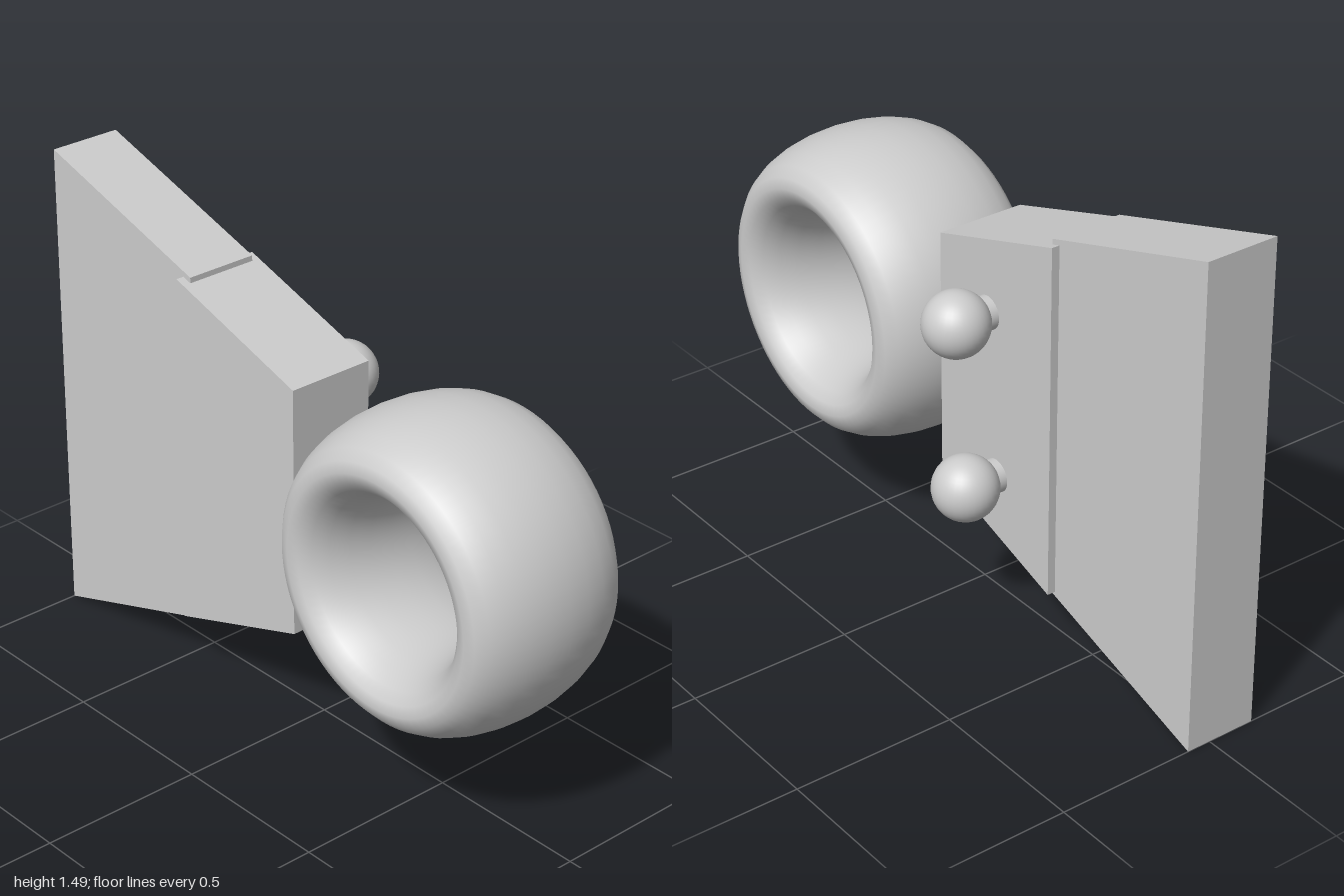
import * as THREE from 'three';

export function createModel() {
  const group = new THREE.Group();
  const grey = new THREE.MeshStandardMaterial({ color: 0xcccccc });
  grey.name = 'light grey';

  const add = (name, geometry, x = 0, y = 0, z = 0) => {
    const mesh = new THREE.Mesh(geometry, grey);
    mesh.name = name;
    mesh.position.set(x, y, z);
    group.add(mesh);
    return mesh;
  };

  // Tapered slab: side outline given as [z, y] corners, extruded across x
  const slab = (name, corners, xMin, xMax) => {
    const shape = new THREE.Shape(corners.map(([z, y]) => new THREE.Vector2(z, y)));
    const geometry = new THREE.ExtrudeGeometry(shape, { depth: xMax - xMin, bevelEnabled: false });
    geometry.rotateY(-Math.PI / 2);
    add(name, geometry, xMax);
  };
  slab('frontBlock', [[0.07, 0.363], [0.07, 1.13], [-0.42, 1.29], [-0.42, 0.2]], -0.175, 0.1);
  slab('rearBlock', [[-0.39, 0.197], [-0.39, 1.297], [-1, 1.49], [-1, 0]], -0.15, 0.075);

  // Wide ring: a torus with its axis along x, stretched sideways
  const ring = new THREE.TorusGeometry(0.343, 0.12, 24, 72);
  ring.rotateY(Math.PI / 2);
  ring.scale(0.272 / 0.12, 1, 1);
  add('ring', ring, -0.036, 0.746, 0.537);

  // Ball knobs on short stems, left side only
  for (const [name, y, z] of [['upper', 0.977, -0.145], ['lower', 0.475, -0.184]]) {
    const stem = new THREE.CylinderGeometry(0.05, 0.05, 0.12, 32);
    stem.rotateZ(Math.PI / 2);
    add(name + 'KnobStem', stem, 0.14, y, z);
    add(name + 'KnobBall', new THREE.SphereGeometry(0.097, 32, 24), 0.207, y, z);
  }

  return group;
}
